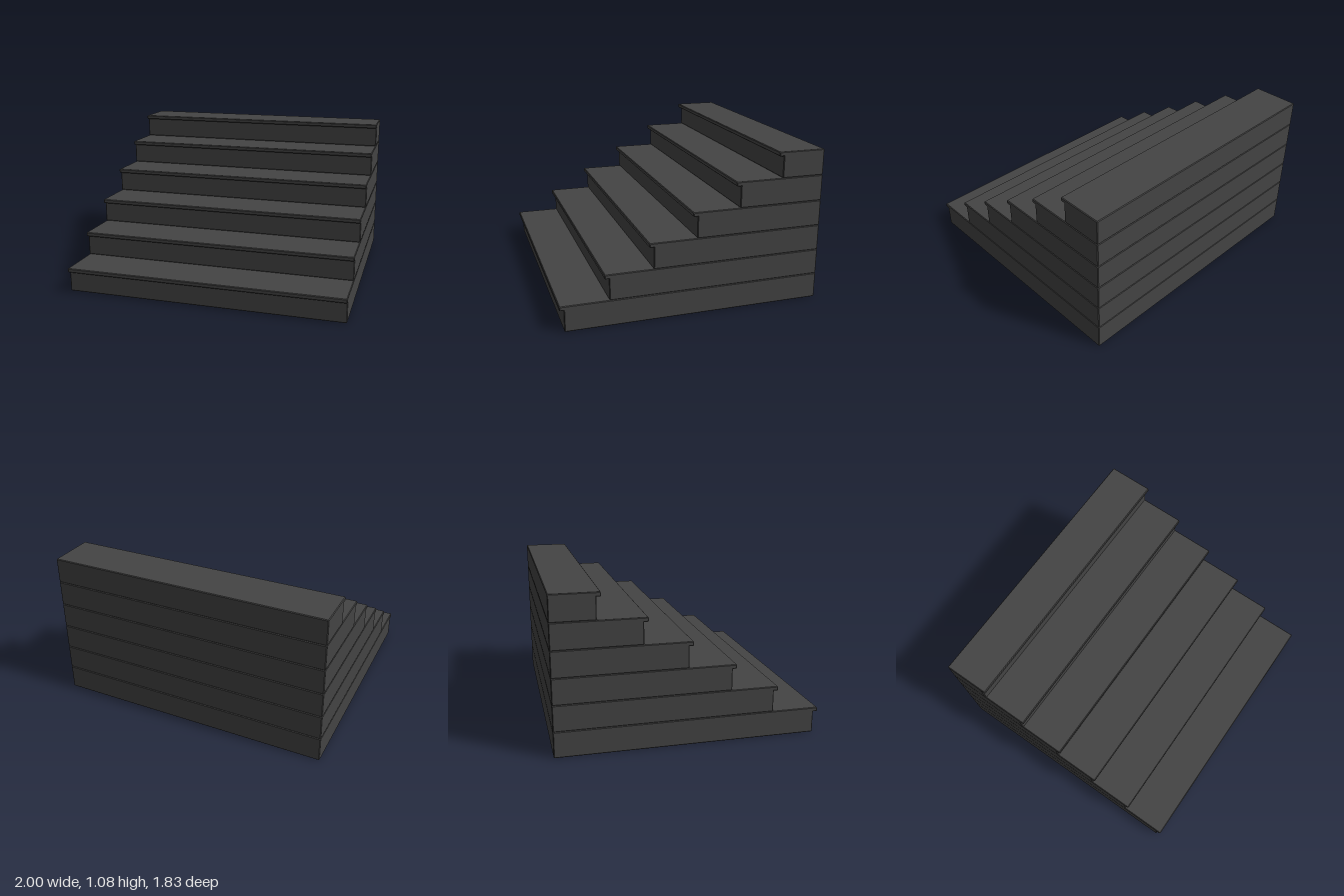
import * as THREE from 'three';

const STEPS = 6, RISE = 0.18, RUN = 0.3, NOSE = 0.03, BACK = -0.915, FRONT = 0.915, BEVEL = 0.005;

// Side profile of one step (shape x = depth, y = height), outer corners chamfered
function stepProfile(front) {
  const c = BEVEL, body = front - NOSE, under = RISE - NOSE;
  return new THREE.Shape([
    [BACK + c, 0], [body - c, 0], [body, c],
    [body, under], [front - c, under], [front, under + c],
    [front, RISE - c], [front - c, RISE],
    [BACK + c, RISE], [BACK, RISE - c], [BACK, c],
  ].map(([z, y]) => new THREE.Vector2(z, y)));
}

// Step block with its overhanging nosing, running the full width along x
function stepGeometry(front) {
  const geometry = new THREE.ExtrudeGeometry(stepProfile(front), {
    depth: 2 - 2 * BEVEL, bevelEnabled: true, bevelSegments: 1,
    bevelThickness: BEVEL, bevelSize: BEVEL, bevelOffset: -BEVEL,
  });
  geometry.translate(0, 0, -(1 - BEVEL));
  geometry.rotateY(-Math.PI / 2);
  return geometry;
}

export function createModel() {
  const model = new THREE.Group();
  model.name = 'staircase';
  const darkGrey = new THREE.MeshStandardMaterial({ color: 0x444444 });
  darkGrey.name = 'dark grey';

  // Stacked steps, each shorter than the one below
  for (let i = 0; i < STEPS; i++) {
    const step = new THREE.Mesh(stepGeometry(FRONT - i * RUN), darkGrey);
    step.name = `step${i + 1}`;
    step.position.y = i * RISE;
    model.add(step);
  }
  return model;
}
